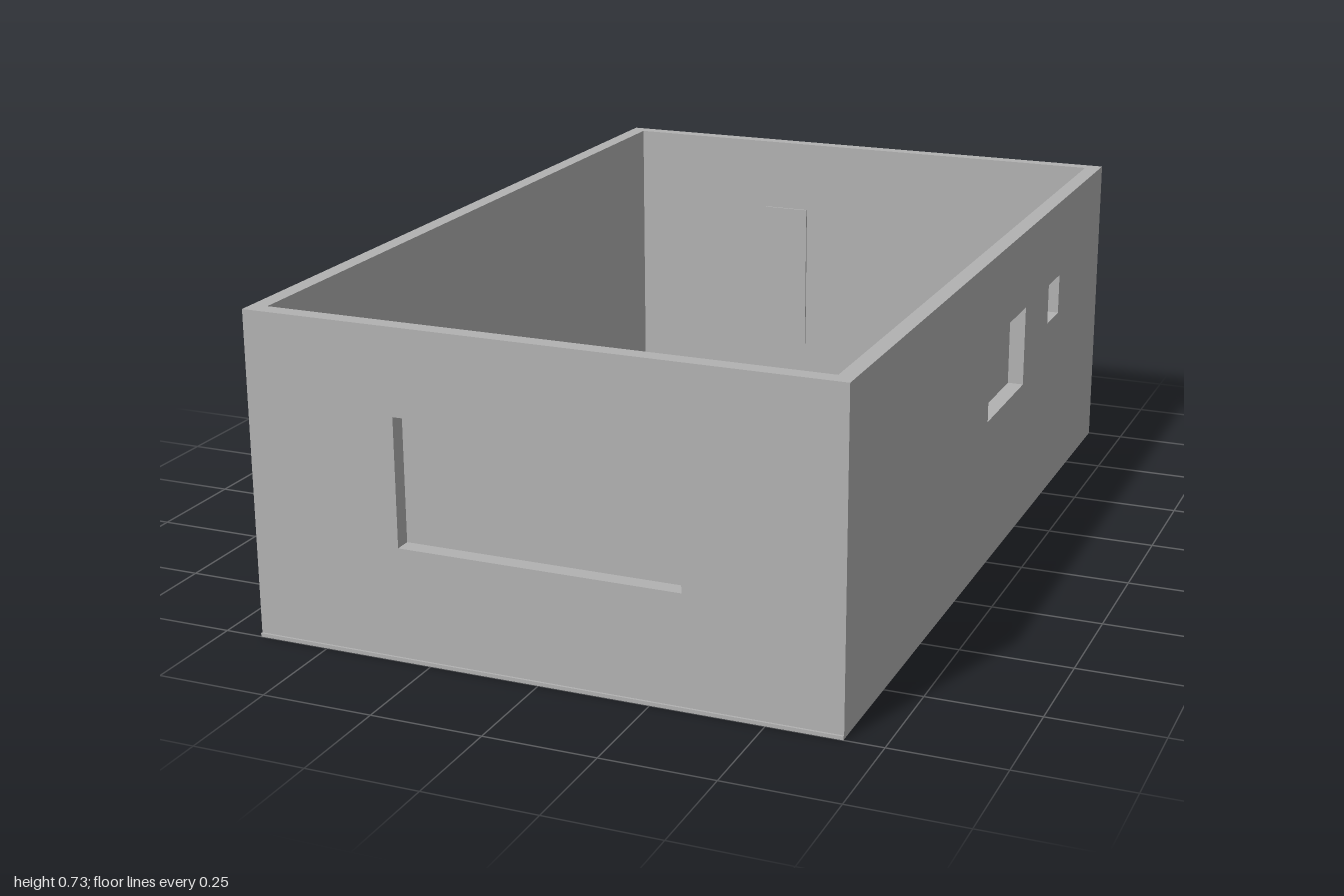
import * as THREE from 'three';

const W = 0.664, H = 0.733;             // half width, wall height
const FRONT = 0.995, BACK = -1;         // outer wall faces
const T = 0.037, TF = 0.038, TB = 0.033; // side, front, back thickness
const PANE = 0.005, LAP = 0.01;         // pane thickness and overlap round its opening

export function createModel() {
  const model = new THREE.Group();
  const grey = new THREE.MeshStandardMaterial({ color: 0xb2b2b2 });
  grey.name = 'plain grey';

  // A wall lies in local x/y and is extruded along z; each opening is
  // [u0, u1, y0, y1] and is closed by a thin pane on the inner face.
  function wall(name, u0, u1, depth, openings, innerAtBack) {
    const group = new THREE.Group();
    group.name = name;
    const rect = (Kind, a, b, c, d) => {
      const p = new Kind();
      p.moveTo(a, c);
      p.lineTo(b, c);
      p.lineTo(b, d);
      p.lineTo(a, d);
      p.closePath();
      return p;
    };
    const shape = rect(THREE.Shape, u0, u1, 0, H);
    for (const [a, b, c, d] of openings) shape.holes.push(rect(THREE.Path, a, b, c, d));
    const slab = new THREE.Mesh(
      new THREE.ExtrudeGeometry(shape, { depth, bevelEnabled: false }), grey);
    slab.name = name + 'Slab';
    group.add(slab);
    for (const [a, b, c, d] of openings) {
      const pane = new THREE.Mesh(
        new THREE.BoxGeometry(b - a + 2 * LAP, d - c + 2 * LAP, PANE), grey);
      pane.name = 'windowPane';
      pane.position.set((a + b) / 2, (c + d) / 2, innerAtBack ? -PANE / 2 : depth + PANE / 2);
      group.add(pane);
    }
    model.add(group);
    return group;
  }

  // Front wall with the wide window
  wall('frontWall', -W, W, TF, [[-0.319, 0.319, 0.254, 0.541]], true)
    .position.z = FRONT - TF;

  // Back wall with the tall slit window
  wall('backWall', -W, W, TB, [[-0.25, -0.15, 0.18, 0.541]], false)
    .position.z = BACK;

  // Side walls fit between front and back; the +x one has two windows
  const z0 = BACK + TB, z1 = FRONT - TF;
  const windows = [[-0.276, 0.026, 0.352, 0.543], [-0.592, -0.488, 0.446, 0.543]];
  for (const [name, x, openings] of [['leftWall', W, windows], ['rightWall', -W + T, []]]) {
    const side = wall(name, z0, z1, T, openings, false);
    side.rotation.y = -Math.PI / 2;
    side.position.x = x;
  }

  // Low lip along the foot of the front wall
  const lip = new THREE.Mesh(new THREE.BoxGeometry(2 * W, 0.008, 1 - FRONT), grey);
  lip.name = 'frontLip';
  lip.position.set(0, 0.004, (1 + FRONT) / 2);
  model.add(lip);

  return model;
}
